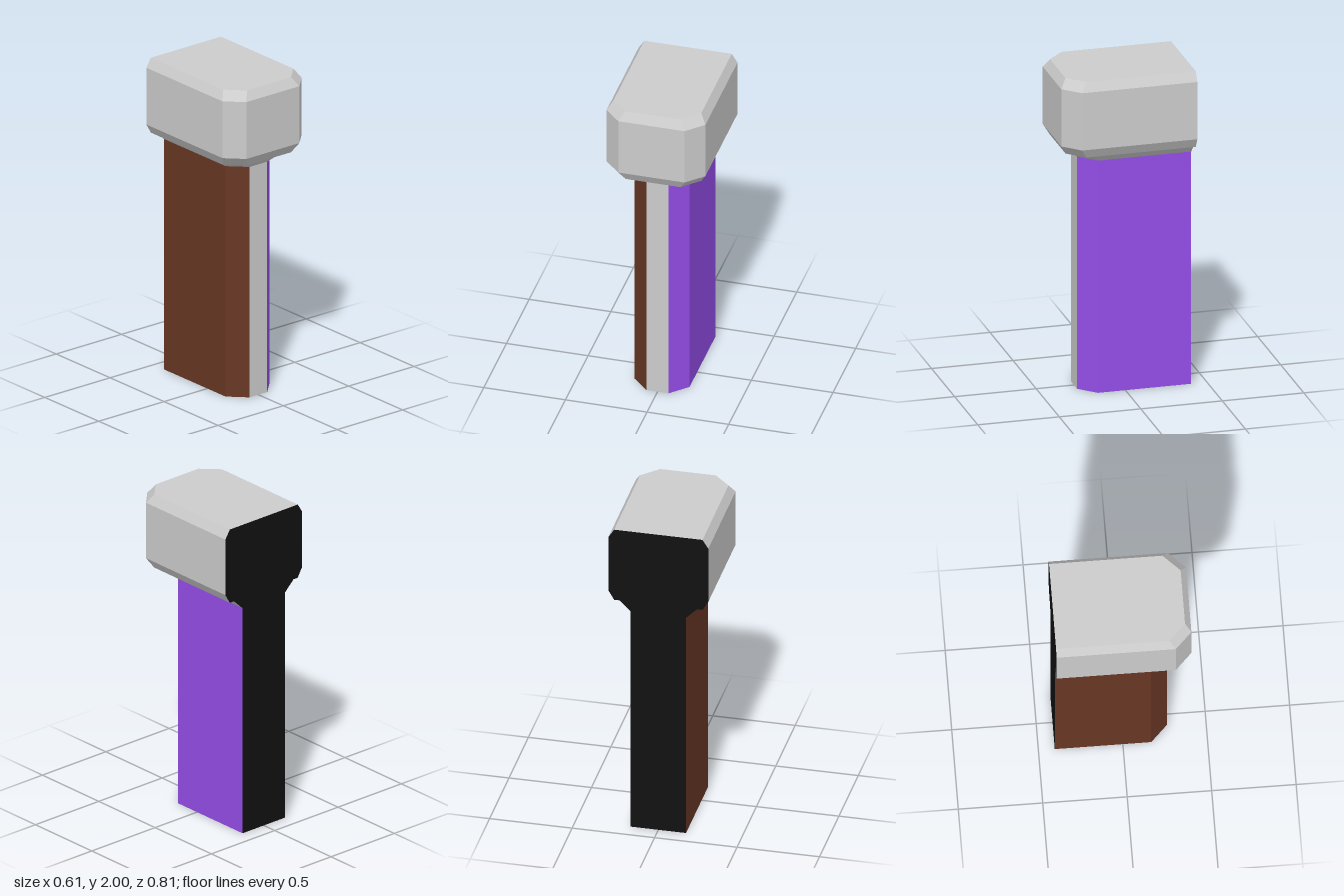
import * as THREE from 'three';

const BACK = -0.403, CUT = 0.1;

// Plan outline at a height: flat back, two cut front corners, counter-clockwise from above
function outline([y, w]) {
  const f = w + 0.1;
  return [[-w, BACK], [-w, f - CUT], [-w + CUT, f], [w - CUT, f], [w, f - CUT], [w, BACK]]
    .map(([x, z]) => new THREE.Vector3(x, y, z));
}

function fromTriangles(points) {
  const g = new THREE.BufferGeometry().setFromPoints(points);
  g.computeVertexNormals();
  return g;
}

// Walls between stacked sections, for the chosen outline edges
function walls(sections, edges) {
  const pts = [];
  for (let s = 0; s < sections.length - 1; s++) {
    const lo = outline(sections[s]), hi = outline(sections[s + 1]);
    for (const i of edges) {
      pts.push(lo[i], lo[i + 1], hi[i + 1], lo[i], hi[i + 1], hi[i]);
    }
  }
  return fromTriangles(pts);
}

// Flat horizontal cap facing up or down
function cap(section, up) {
  const o = outline(section), pts = [];
  for (let i = 1; i < o.length - 1; i++) {
    pts.push(o[0], ...(up ? [o[i], o[i + 1]] : [o[i + 1], o[i]]));
  }
  return fromTriangles(pts);
}

export function createModel() {
  const group = new THREE.Group();
  const mat = (color) => new THREE.MeshStandardMaterial({ color, flatShading: true });
  const grey = mat(0xcccccc), purple = mat(0x944de8), brown = mat(0x683724), black = mat(0x111111);
  const add = (name, geometry, material) => {
    const mesh = new THREE.Mesh(geometry, material);
    mesh.name = name;
    group.add(mesh);
  };

  // [height, half width]
  const shaft = [[0, 0.168], [1.46, 0.168]];
  const neck = [[1.46, 0.168], [1.525, 0.235]];
  const head = [[1.525, 0.235], [1.525, 0.268], [1.585, 0.303], [1.945, 0.303], [2, 0.268]];
  const all = [0, 1, 2, 3, 4];

  // Shaft with differently coloured sides
  add('shaftRightSide', walls(shaft, [0, 1]), brown);
  add('shaftFront', walls(shaft, [2]), grey);
  add('shaftLeftSide', walls(shaft, [3, 4]), purple);
  add('shaftBase', cap(shaft[0], false), black);

  // Flared neck and bevelled head
  add('neck', walls(neck, all), grey);
  add('head', walls(head, all), grey);
  add('headTop', cap(head[head.length - 1], true), grey);

  // Flat back plate following the whole silhouette
  const side = [shaft[0], ...neck, ...head.slice(1)];
  const profile = [
    ...side.map(([y, w]) => new THREE.Vector2(w, y)),
    ...side.map(([y, w]) => new THREE.Vector2(-w, y)).reverse(),
  ];
  const back = new THREE.ShapeGeometry(new THREE.Shape(profile));
  back.rotateY(Math.PI).translate(0, 0, BACK);
  add('backPlate', back, black);

  return group;
}
